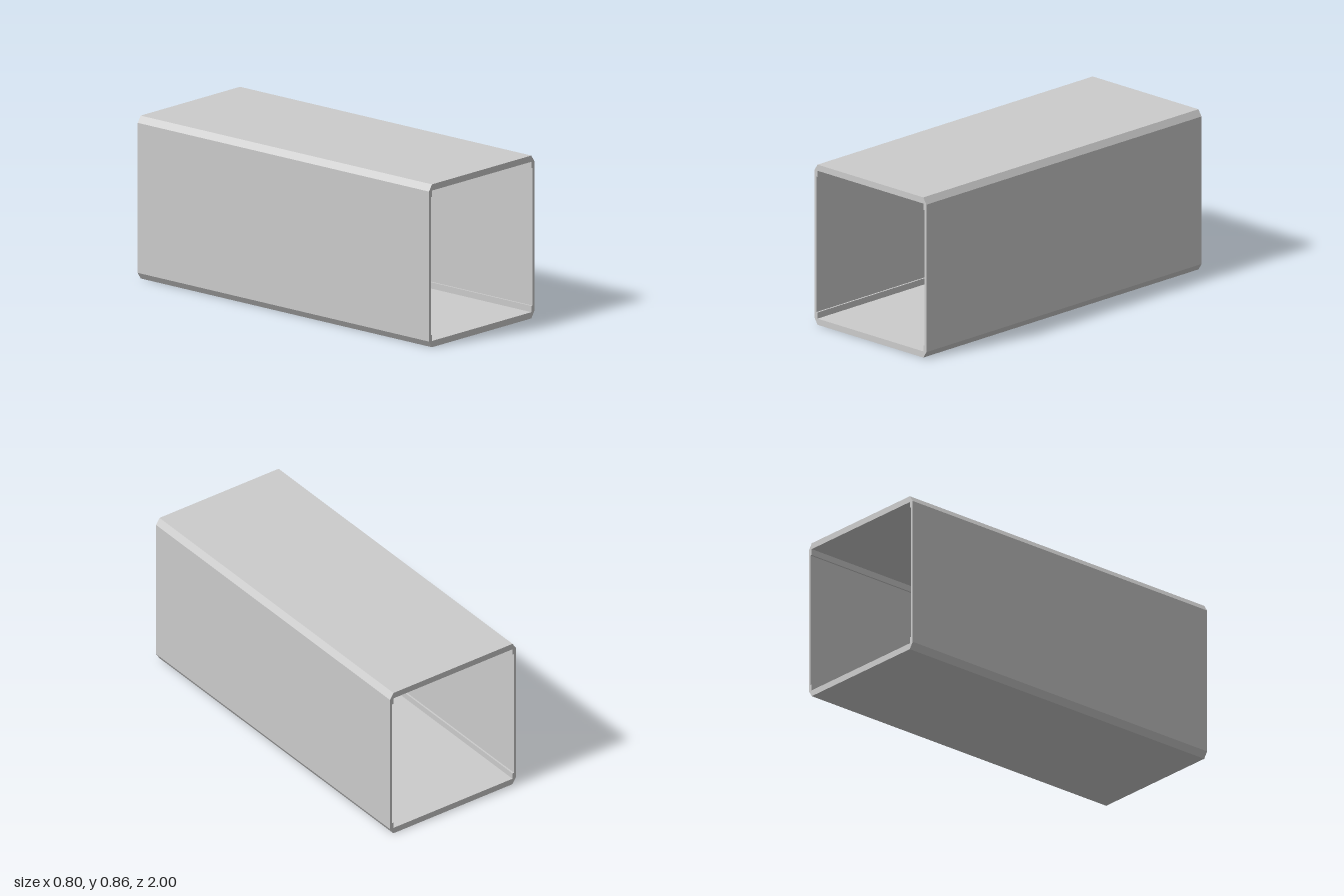
import * as THREE from 'three';

const H = 0.86, LENGTH = 2;

// Mirror one corner's points (bottom right, ordered counter-clockwise) to all four corners
function ring(corner) {
  const right = [...corner, ...corner.map(([x, y]) => [x, H - y]).reverse()];
  const left = right.map(([x, y]) => [-x, y]).reverse();
  return [...right, ...left].map(([x, y]) => new THREE.Vector2(x, y));
}

export function createModel() {
  const group = new THREE.Group();
  group.name = 'squareTube';

  // Outer outline with chamfered corners
  const profile = new THREE.Shape(ring([[0.378, 0], [0.4, 0.034]]));
  // Inner opening, with a small step beside each corner
  profile.holes.push(new THREE.Path(ring([[0.378, 0.033], [0.378, 0.066], [0.387, 0.066]])));

  const geometry = new THREE.ExtrudeGeometry(profile, { depth: LENGTH, bevelEnabled: false });
  geometry.translate(0, 0, -LENGTH / 2);

  const tube = new THREE.Mesh(
    geometry,
    new THREE.MeshStandardMaterial({ color: 0xcccccc, flatShading: true })
  );
  tube.name = 'tubeWalls';
  group.add(tube);
  return group;
}
